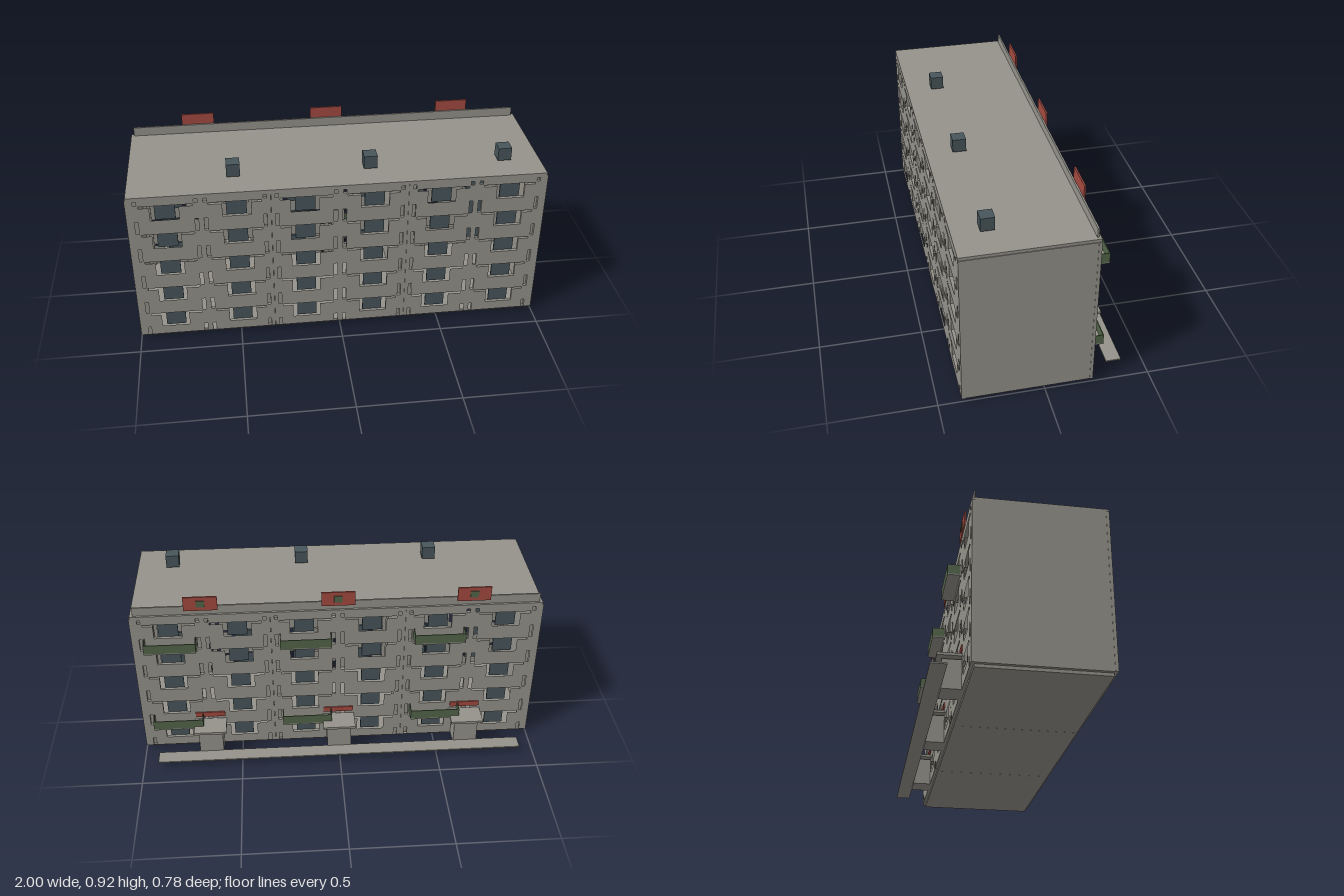
import * as THREE from 'three';

const paint = (name, color) => {
  const m = new THREE.MeshStandardMaterial({ color });
  m.name = name;
  return m;
};

export function createModel() {
  const concrete = paint('concrete grey', 0x95938b);
  const glass = paint('slate glass', 0x48565b);
  const red = paint('brick red', 0xa34a40);
  const green = paint('moss green', 0x53664a);
  const model = new THREE.Group();
  model.name = 'apartmentBlock';

  // Box given by its limits on each axis
  const box = (name, mat, x0, x1, y0, y1, z0, z1) => {
    const mesh = new THREE.Mesh(new THREE.BoxGeometry(x1 - x0, y1 - y0, z1 - z0), mat);
    mesh.position.set((x0 + x1) / 2, (y0 + y1) / 2, (z0 + z1) / 2);
    mesh.name = name;
    model.add(mesh);
  };

  const SECTION = 0.655, HALF = 0.327, FLOOR = 0.157, BASE = 0.015;
  const FRONT = 0.375, BACK = -0.23, THICK = 0.015;

  // Facade bay: one stack of five storeys, cut by window openings and slits
  const bayGeometry = (side) => {
    const path = (pts, Type) => new Type(pts.map(([u, v]) => new THREE.Vector2(u * side, v)));
    const rect = (u0, u1, v0, v1) => [[u0, v0], [u1, v0], [u1, v1], [u0, v1]];
    const shape = path(rect(0, HALF, 0, 0.79), THREE.Shape);
    const cut = (pts) => shape.holes.push(path(pts, THREE.Path));
    for (let k = 0; k <= 5; k++) {
      const y = k * FLOOR;
      const low = k ? y - 0.022 : 0.003, high = Math.min(y + 0.046, 0.783);
      cut(rect(0.013, 0.03, low, high));
      cut(rect(0.292, 0.308, low, high));
      if (k === 5) break;
      cut([[0.1, y + 0.049], [0.235, y + 0.049], [0.235, y + 0.119], [0.285, y + 0.119],
        [0.285, y + 0.129], [0.035, y + 0.129], [0.035, y + 0.119], [0.1, y + 0.119]]);
    }
    return new THREE.ExtrudeGeometry(shape, { depth: THICK, bevelEnabled: false });
  };
  const bays = { '1': bayGeometry(1), '-1': bayGeometry(-1) };

  // Base, roof, parapet and end walls of the hollow shell
  box('roofSlab', concrete, -0.995, 0.995, 0.805, 0.82, -0.23, 0.39);
  box('roofParapet', concrete, -0.98, 0.98, 0.82, 0.865, -0.22, -0.212);
  for (const s of [-1, 1]) {
    box('endWall', concrete, s * 0.99 - 0.008, s * 0.99 + 0.008, 0.015, 0.805, -0.215, 0.375);
    for (const z of [-0.23, 0.375])
      box('cornerStrip', concrete, s * 0.99 - 0.01, s * 0.99 + 0.01, 0.015, 0.805, z, z + THICK);
    box('partyWall', concrete, s * HALF - 0.004, s * HALF + 0.004, 0.015, 0.805, -0.215, 0.375);
  }

  for (let i = -1; i <= 1; i++) {
    const cx = i * SECTION;
    box('baseSlab', concrete, cx - HALF, cx + HALF, 0, 0.015, -0.215, 0.375);

    // Facades, windows and shallow groove backs on both long sides
    for (const side of [-1, 1]) {
      for (const z of [FRONT, BACK]) {
        const bay = new THREE.Mesh(bays[side], concrete);
        bay.position.set(cx, BASE, z);
        bay.name = z > 0 ? 'frontFacade' : 'backFacade';
        model.add(bay);
        const zin = z > 0 ? 0.366 : -0.215;
        const gx = cx + side * 0.3;
        box('grooveBack', concrete, gx - 0.01, gx + 0.01, 0.015, 0.805, zin, zin + 0.009);
        const wx = cx + side * 0.166;
        for (let k = 0; k < 5; k++) {
          const y = BASE + k * FLOOR;
          box('window', glass, wx - 0.048, wx + 0.048, y + 0.045, y + 0.135, zin, zin + 0.009);
        }
      }
    }

    // Roof vent and roof sign board
    box('roofVent', glass, cx + 0.128, cx + 0.193, 0.83, 0.895, 0.2, 0.265);
    box('roofBoard', red, cx - 0.081, cx + 0.081, 0.845, 0.92, -0.23, -0.222);
    box('boardPlate', green, cx - 0.02, cx + 0.02, 0.866, 0.9, -0.234, -0.229);

    // Entrance porch with canopy and board above it
    box('porch', concrete, cx - 0.06, cx + 0.06, 0.015, 0.157, -0.32, -0.23);
    box('porchCanopy', concrete, cx - 0.081, cx + 0.081, 0.165, 0.178, -0.343, -0.225);
    box('entranceBoard', red, cx - 0.075, cx + 0.075, 0.195, 0.223, -0.236, -0.23);

    // Open-topped balconies on the second and fifth storeys
    const x0 = cx + 0.035, x1 = cx + 0.285;
    for (const y of [0.165, 0.639]) {
      box('balconyFloor', concrete, x0, x1, y, y + 0.006, -0.291, -0.228);
      box('balconyFront', green, x0, x1, y + 0.006, y + 0.055, -0.291, -0.287);
      box('balconySide', green, x0, x0 + 0.004, y + 0.006, y + 0.055, -0.287, -0.23);
      box('balconySide', green, x1 - 0.004, x1, y + 0.006, y + 0.055, -0.287, -0.23);
    }
  }

  // Walkway along the entrances
  box('walkway', concrete, -0.93, 0.925, 0.03, 0.037, -0.39, -0.317);
  return model;
}
